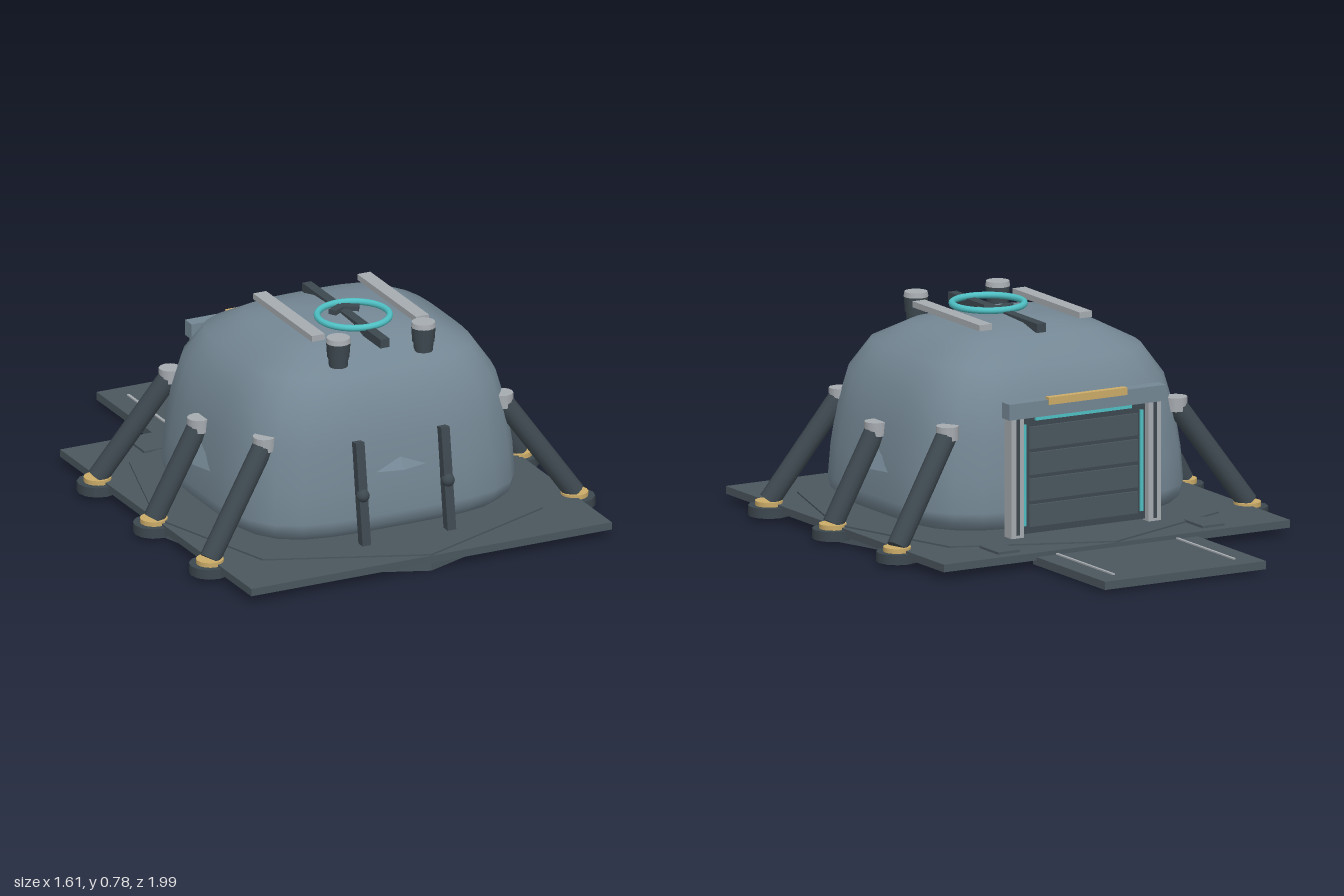
import * as THREE from 'three';

const mat = (name, color, side = THREE.FrontSide) => {
  const m = new THREE.MeshStandardMaterial({ color, side });
  m.name = name;
  return m;
};

export function createModel() {
  const hull = mat('blue grey hull', 0x748794);
  const deck = mat('slate deck', 0x4a565e);
  const dark = mat('dark steel', 0x3d484f);
  const light = mat('light grey', 0xa6abb0);
  const teal = mat('teal light', 0x4fc0c4);
  const gold = mat('gold trim', 0xcbab68);
  const root = new THREE.Group();
  root.name = 'domeShelter';

  const add = (name, geo, material, x = 0, y = 0, z = 0, parent = root) => {
    const m = new THREE.Mesh(geo, material);
    m.name = name;
    m.position.set(x, y, z);
    parent.add(m);
    return m;
  };
  // Box given by its min and max corners
  const box = (name, material, x0, x1, y0, y1, z0, z1) =>
    add(name, new THREE.BoxGeometry(x1 - x0, y1 - y0, z1 - z0), material,
      (x0 + x1) / 2, (y0 + y1) / 2, (z0 + z1) / 2);
  const cyl = (name, material, rTop, rBottom, y0, y1, x, z, sides = 16) =>
    add(name, new THREE.CylinderGeometry(rTop, rBottom, y1 - y0, sides), material, x, (y0 + y1) / 2, z);

  // Ground slab: square deck crossed by an octagonal pad
  box('deckPlate', deck, -0.72, 0.72, 0.03, 0.058, -0.525, 0.99);
  const oct = new THREE.Shape([[0, -0.757], [0.56, -0.53], [0.72, 0], [0.56, 0.53], [0, 0.757],
    [-0.56, 0.53], [-0.72, 0], [-0.56, -0.53]].map(p => new THREE.Vector2(...p)));
  const octGeo = new THREE.ExtrudeGeometry(oct, { depth: 0.064, bevelEnabled: false });
  octGeo.rotateX(-Math.PI / 2);
  add('octagonPad', octGeo, deck, 0, 0, 0.2325);

  // Rear ramp
  box('ramp', deck, -0.335, 0.335, 0.012, 0.042, -1, -0.5);

  // Dome: rounded-square rings stacked along a profile of [scale, height]
  const profile = [[0, 0.08], [0.93, 0.08], [0.985, 0.11], [1, 0.15], [0.985, 0.27], [0.95, 0.41],
    [0.89, 0.54], [0.76, 0.65], [0.54, 0.715], [0.3, 0.745], [0, 0.752]];
  const N = 40, pos = [], idx = [];
  profile.forEach(([s, y]) => {
    for (let j = 0; j < N; j++) {
      const a = j / N * Math.PI * 2, c = Math.cos(a), d = Math.sin(a);
      const r = s / Math.pow(c ** 4 + d ** 4, 0.25);
      pos.push(0.563 * r * c, y, 0.25 + 0.512 * r * d);
    }
  });
  for (let i = 0; i < profile.length - 1; i++) {
    for (let j = 0; j < N; j++) {
      const a = i * N + j, b = i * N + (j + 1) % N;
      if (i > 0) idx.push(a, a + N, b);
      if (i < profile.length - 2) idx.push(b, a + N, b + N);
    }
  }
  const domeGeo = new THREE.BufferGeometry();
  domeGeo.setAttribute('position', new THREE.Float32BufferAttribute(pos, 3));
  domeGeo.setIndex(idx);
  domeGeo.computeVertexNormals();
  add('dome', domeGeo, hull);

  // Small peaked hoods on the front and flanks
  const hood = (x, y, z, sx, sy, sz) => {
    const g = new THREE.ConeGeometry(1, 1, 4).toNonIndexed();
    g.computeVertexNormals();
    add('hood', g, hull, x, y + sy / 2, z).scale.set(sx, sy, sz);
  };
  hood(0, 0.31, 0.738, 0.145, 0.05, 0.035);

  // Six splayed support legs with joint caps and foot pads
  const leg = (top, foot) => {
    const a = new THREE.Vector3(...top), b = new THREE.Vector3(...foot);
    const g = new THREE.Group();
    g.name = 'supportLeg';
    root.add(g);
    const dir = a.clone().sub(b);
    const mid = a.clone().add(b).multiplyScalar(0.5);
    add('legTube', new THREE.CylinderGeometry(0.038, 0.038, dir.length(), 12), dark, mid.x, mid.y, mid.z, g)
      .quaternion.setFromUnitVectors(new THREE.Vector3(0, 1, 0), dir.normalize());
    add('jointCap', new THREE.CylinderGeometry(0.041, 0.041, 0.05, 12), light, a.x, a.y + 0.005, a.z, g);
    add('footPad', new THREE.CylinderGeometry(0.075, 0.075, 0.036, 12), dark, b.x, 0.032, b.z, g);
    add('footCollar', new THREE.CylinderGeometry(0.05, 0.05, 0.018, 16), gold, b.x, 0.058, b.z, g);
  };

  for (const s of [-1, 1]) {
    leg([s * 0.475, 0.435, -0.14], [s * 0.728, 0.065, -0.213]);
    leg([s * 0.55, 0.39, 0.233], [s * 0.728, 0.065, 0.233]);
    leg([s * 0.475, 0.435, 0.605], [s * 0.728, 0.065, 0.677]);
    hood(s * 0.55, 0.25, 0.24, 0.035, 0.09, 0.12);

    // Ramp treads and deck hatches
    const tread = s * 0.25, hatch = s * 0.425;
    box('rampTread', light, tread - 0.005, tread + 0.005, 0.04, 0.047, -0.92, -0.5);
    box('deckHatch', deck, hatch - 0.045, hatch + 0.045, 0.056, 0.067, -0.485, -0.355);

    // Leaning front struts with clamps
    const strut = add('frontStrut', new THREE.BoxGeometry(0.034, 0.38, 0.034), dark, s * 0.17, 0.25, 0.772);
    strut.rotation.x = -0.14;
    add('strutClamp', new THREE.SphereGeometry(0.025, 12, 8), dark, s * 0.17, 0.245, 0.782);

    // Roof rails and sensor pods
    const rail = s * 0.208;
    box('roofRail', light, rail - 0.026, rail + 0.026, 0.748, 0.77, 0.04, 0.505);
    cyl('sensorNeck', dark, 0.037, 0.034, 0.675, 0.715, s * 0.17, 0.588);
    cyl('sensorBody', dark, 0.044, 0.04, 0.71, 0.768, s * 0.17, 0.588);
    cyl('sensorCap', light, 0.042, 0.045, 0.766, 0.784, s * 0.17, 0.588);

    // Door posts with light strips
    const post = s * 0.285, strip = s * 0.243;
    box('doorPost', light, post - 0.026, post + 0.026, 0.06, 0.51, -0.312, -0.262);
    box('postGroove', dark, post - 0.006, post + 0.006, 0.075, 0.5, -0.315, -0.307);
    box('doorLightStrip', teal, strip - 0.006, strip + 0.006, 0.1, 0.47, -0.292, -0.284);

    // Chevron on the roof spine
    const chevron = add('chevronArm', new THREE.BoxGeometry(0.065, 0.018, 0.03), dark, s * 0.026, 0.76, 0.292);
    chevron.rotation.y = -s * 0.55;
  }

  // Roof spine and glowing ring
  box('roofSpine', dark, -0.018, 0.018, 0.725, 0.758, 0, 0.62);
  const ring = add('roofRing', new THREE.TorusGeometry(0.13, 0.012, 10, 40), teal, 0, 0.763, 0.37);
  ring.rotation.x = Math.PI / 2;

  // Rear doorway: lintel, gold plate, slatted door
  box('doorLintel', hull, -0.325, 0.325, 0.5, 0.558, -0.32, -0.267);
  box('lintelPlate', gold, -0.163, 0.163, 0.54, 0.567, -0.325, -0.3);
  box('lintelLight', teal, -0.2, 0.2, 0.482, 0.494, -0.296, -0.284);
  box('door', dark, -0.262, 0.262, 0.07, 0.5, -0.285, -0.2);
  for (let i = 0; i < 4; i++) {
    const y = 0.095 + i * 0.095;
    box('doorSlat', deck, -0.225, 0.225, y, y + 0.08, -0.294, -0.28);
  }
  return root;
}
